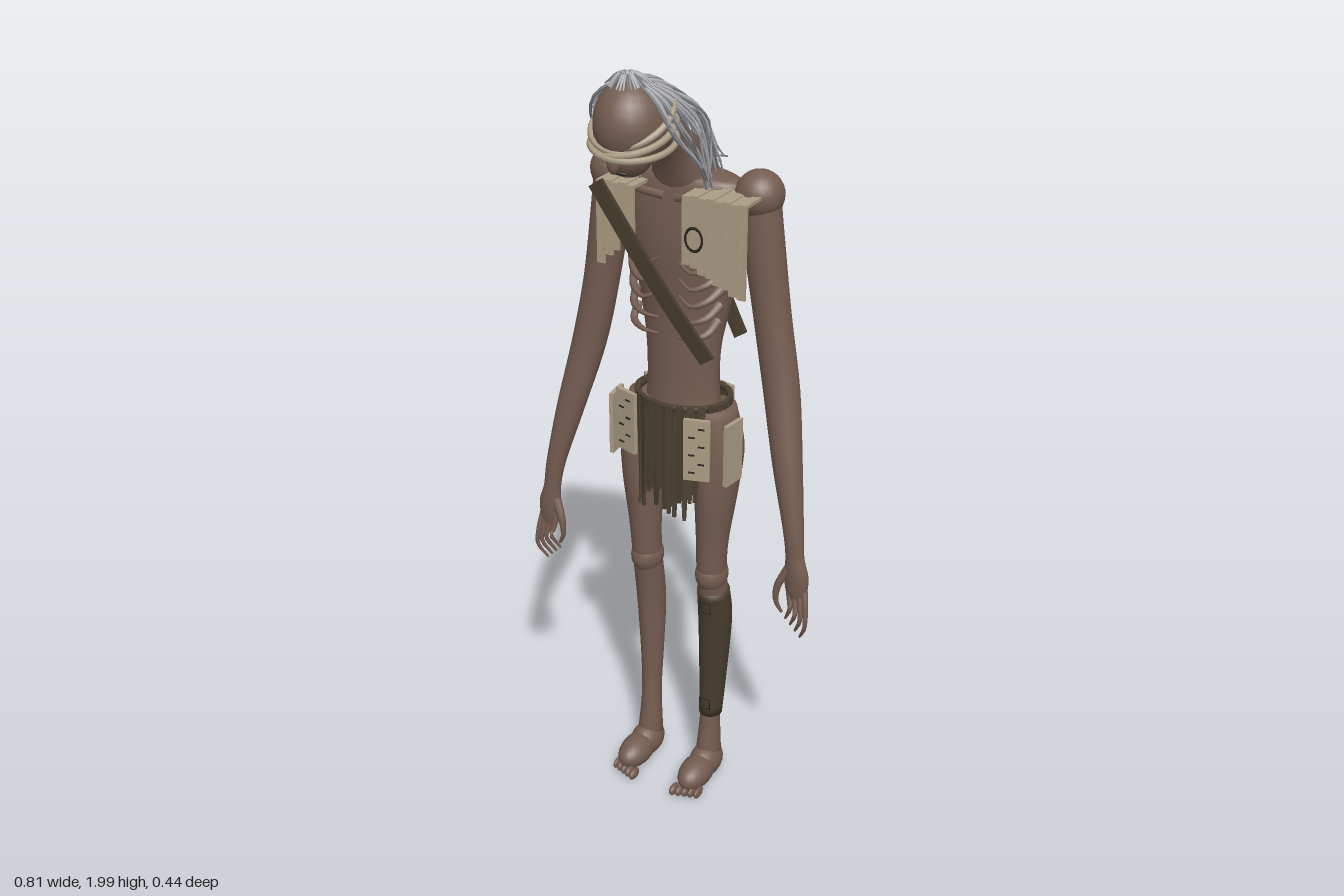
import * as THREE from 'three';

const V = (p) => new THREE.Vector3(...p);
const mat = (name, color) => {
  const m = new THREE.MeshStandardMaterial({ color });
  m.name = name;
  return m;
};

export function createModel() {
  const root = new THREE.Group();
  const skin = mat('skin', 0x745c50);
  const leather = mat('dark leather', 0x473d2d);
  const cloth = mat('skirt cloth', 0x4c4232);
  const hide = mat('pale hide', 0xab9d84);
  const grey = mat('pale grey hair', 0xb6b8bc);
  const ash = mat('mid grey hair', 0x85878b);
  const metal = mat('dark metal', 0x2c2822);

  let seed = 7;
  const rnd = () => (seed = (seed * 16807) % 2147483647) / 2147483647;

  const add = (name, geo, m, pos = [0, 0, 0], parent = root) => {
    const mesh = new THREE.Mesh(geo, m);
    mesh.name = name;
    mesh.position.set(...pos);
    parent.add(mesh);
    return mesh;
  };
  const ball = (name, m, pos, scale) =>
    add(name, new THREE.SphereGeometry(1, 24, 16), m, pos).scale.set(...scale);

  // Smooth body form through rows [x, y, z, rx, rz], listed top to bottom
  function loft(rows, n = 20, sub = 5) {
    const c = new THREE.CatmullRomCurve3(rows.map((r) => V([r[0], r[1], r[2]])), false, 'catmullrom');
    const w = new THREE.CatmullRomCurve3(rows.map((r) => V([r[3], r[4], 0])), false, 'catmullrom');
    const steps = (rows.length - 1) * sub, pos = [], idx = [];
    for (let i = 0; i <= steps; i++) {
      const p = c.getPoint(i / steps), r = w.getPoint(i / steps);
      for (let j = 0; j < n; j++) {
        const a = (j / n) * Math.PI * 2;
        pos.push(p.x + r.x * Math.cos(a), p.y, p.z + r.y * Math.sin(a));
        if (i === steps) continue;
        const A = i * n + j, B = i * n + (j + 1) % n;
        idx.push(A, B, A + n, B, B + n, A + n);
      }
    }
    const top = pos.length / 3, last = rows[rows.length - 1];
    pos.push(rows[0][0], rows[0][1], rows[0][2], last[0], last[1], last[2]);
    for (let j = 0; j < n; j++) {
      const k = (j + 1) % n;
      idx.push(top, k, j, top + 1, steps * n + j, steps * n + k);
    }
    const g = new THREE.BufferGeometry();
    g.setAttribute('position', new THREE.Float32BufferAttribute(pos, 3));
    g.setIndex(idx);
    g.computeVertexNormals();
    return g;
  }

  // Tube that narrows from r0 to r1
  function taper(pts, r0, r1, seg = 10, sides = 6) {
    const c = new THREE.CatmullRomCurve3(pts.map(V));
    const g = new THREE.TubeGeometry(c, seg, r0, sides), p = g.attributes.position, v = new THREE.Vector3();
    for (let i = 0; i < p.count; i++) {
      const t = Math.floor(i / (sides + 1)) / seg, o = c.getPointAt(t);
      v.fromBufferAttribute(p, i).sub(o).multiplyScalar(1 + (r1 / r0 - 1) * t).add(o);
      p.setXYZ(i, v.x, v.y, v.z);
    }
    return g;
  }

  // Flat strap following a path, facing z
  function strap(pts, width) {
    const c = new THREE.CatmullRomCurve3(pts.map(V));
    const g = new THREE.BoxGeometry(1, width, 0.01, 12, 1, 1), p = g.attributes.position;
    for (let i = 0; i < p.count; i++) {
      const u = p.getX(i) + 0.5, o = c.getPointAt(u), t = c.getTangentAt(u), y = p.getY(i);
      const l = Math.hypot(t.x, t.y);
      p.setXYZ(i, o.x - (t.y / l) * y, o.y + (t.x / l) * y, o.z + p.getZ(i));
    }
    g.computeVertexNormals();
    return g;
  }

  // Torso and stooped neck
  add('torso', loft([[0, 1.72, -0.12, 0.09, 0.05], [0, 1.69, -0.115, 0.16, 0.064], [0, 1.55, -0.117, 0.148, 0.074],
    [0, 1.4, -0.122, 0.122, 0.068], [0, 1.28, -0.115, 0.1, 0.06], [0, 1.15, -0.115, 0.098, 0.062],
    [0, 1.02, -0.115, 0.115, 0.07], [0, 0.96, -0.115, 0.06, 0.05]], 32), skin);
  add('neck', loft([[0, 1.9, 0.055, 0.045, 0.05], [0, 1.83, -0.015, 0.05, 0.07], [0, 1.76, -0.09, 0.06, 0.075],
    [0, 1.66, -0.127, 0.1, 0.064]]), skin);

  // Head
  ball('skull', skin, [0, 1.88, 0.112], [0.085, 0.1, 0.1]);
  ball('jaw', skin, [0, 1.822, 0.13], [0.056, 0.058, 0.06]);
  ball('nose', skin, [0, 1.812, 0.194], [0.015, 0.026, 0.017]);
  ball('mouth', metal, [0, 1.783, 0.172], [0.02, 0.005, 0.007]);
  [-0.024, -0.006, 0.012, 0.03].forEach((dy, i) => {
    const band = add('blindfoldBand', new THREE.TorusGeometry(0.09, 0.0075, 6, 40), hide, [0, 1.865 + dy, 0.112]);
    band.rotation.x = Math.PI / 2 + 0.18 + 0.13 * i;
    band.rotation.y = 0.08 * (i % 2 ? 1 : -1);
    band.scale.set(1.03, 1.1 - 0.01 * i, 1);
  });

  // Hair: long strands flowing back over the neck, looser ones at the sides, and a crown tuft
  const hair = new THREE.Group();
  hair.name = 'hair';
  root.add(hair);
  for (let i = 0; i < 58; i++) {
    const s = (i / 57) * 2 - 1, j = () => (rnd() - 0.5) * 0.022;
    add('backStrand', taper([[0.02 * s, 1.978, 0.125 + j()], [0.078 * s + j() / 2, 1.968 - 0.05 * s * s, 0.05],
      [0.102 * s + j(), 1.905 - 0.04 * s * s + j(), -0.035 + j()], [0.105 * s + j(), 1.815 - 0.035 * s * s + j(), -0.125 + 0.06 * s * s + j()],
      [0.09 * s + j(), 1.685 + rnd() * 0.07, -0.182 + 0.05 * s * s + j()]], 0.004, 0.002, 14, 5), i % 3 ? grey : ash, [0, 0, 0], hair);
  }
  for (const s of [-1, 1]) for (let i = 0; i < 14; i++) {
    const z = 0.15 - 0.014 * i, j = () => (rnd() - 0.5) * 0.02;
    add('sideStrand', taper([[s * 0.015, 1.98, 0.13], [s * 0.075, 1.94, 0.07 + z * 0.5], [s * 0.102 + j(), 1.87, z * 0.8 + j()],
      [s * 0.104 + j(), 1.79 + j(), z * 0.4 - 0.03], [s * 0.092 + j(), 1.67 + rnd() * 0.09, -0.06 + j()]], 0.004, 0.002, 14, 5),
    i % 3 ? grey : ash, [0, 0, 0], hair);
  }
  for (let i = 0; i < 34; i++) {
    const a = i * 2.4, r = 0.035 + rnd() * 0.025;
    add('crownStrand', taper([[0, 1.965, 0.135], [Math.cos(a) * 0.015, 1.992, 0.135 + Math.sin(a) * 0.015],
      [Math.cos(a) * r, 1.965, 0.128 + Math.sin(a) * r]], 0.0045, 0.002, 8, 5), i % 3 ? grey : ash, [0, 0, 0], hair);
  }

  // Arms, hands, legs and feet, mirrored
  for (const s of [-1, 1]) {
    ball('shoulder', skin, [s * 0.195, 1.685, -0.117], [0.058, 0.058, 0.058]);
    add('arm', loft([[s * 0.2, 1.68, -0.117, 0.045, 0.045], [s * 0.208, 1.58, -0.118, 0.05, 0.045],
      [s * 0.236, 1.4, -0.118, 0.047, 0.043], [s * 0.272, 1.22, -0.108, 0.046, 0.042], [s * 0.312, 1.04, -0.075, 0.038, 0.034],
      [s * 0.345, 0.89, -0.052, 0.027, 0.025], [s * 0.357, 0.81, -0.045, 0.024, 0.02], [s * 0.364, 0.76, -0.043, 0.032, 0.019],
      [s * 0.366, 0.71, -0.043, 0.028, 0.015], [s * 0.366, 0.685, -0.043, 0.014, 0.01]]), skin);
    for (let f = 0; f < 4; f++) {
      const x = 0.346 + f * 0.014, d = 0.014 * (3 - f);
      add('finger', taper([[s * x, 0.72, -0.043], [s * (x + 0.01), 0.67, -0.032], [s * (x + 0.012), 0.625 + d, -0.028],
        [s * (x - 0.008), 0.58 + d, -0.045]], 0.0105, 0.003), skin);
    }
    add('thumb', taper([[s * 0.345, 0.775, -0.04], [s * 0.32, 0.72, -0.03], [s * 0.318, 0.675, -0.03], [s * 0.332, 0.645, -0.035]], 0.014, 0.004), skin);

    add('leg', loft([[s * 0.09, 1.13, -0.11, 0.055, 0.06], [s * 0.108, 1.02, -0.11, 0.06, 0.068], [s * 0.106, 0.9, -0.1, 0.054, 0.062],
      [s * 0.1, 0.76, -0.095, 0.042, 0.045], [s * 0.097, 0.65, -0.1, 0.038, 0.043], [s * 0.098, 0.5, -0.122, 0.038, 0.042],
      [s * 0.095, 0.34, -0.12, 0.031, 0.034], [s * 0.093, 0.2, -0.113, 0.027, 0.029], [s * 0.093, 0.06, -0.105, 0.034, 0.04]]), skin);
    ball('knee', skin, [s * 0.097, 0.65, -0.1], [0.042, 0.05, 0.049]);
    ball('heel', skin, [s * 0.094, 0.048, -0.09], [0.042, 0.047, 0.062]);
    ball('forefoot', skin, [s * 0.095, 0.044, -0.035], [0.043, 0.042, 0.072]);
    for (let t = 0; t < 5; t++)
      ball('toe', skin, [s * (0.064 + t * 0.016), 0.017, 0.033 - t * 0.005], [0.01 - t * 0.0006, 0.015, 0.022]);

    // Ribs and collarbones
    for (let k = 0; k < 5; k++) {
      const y = 1.51 - 0.042 * k, w = 0.13 - 0.005 * k;
      add('rib', taper([[s * w, y + 0.025, -0.085], [s * 0.1, y, -0.047], [s * 0.065, y - 0.014, -0.032],
        [s * 0.028, y + (k < 3 ? 0.004 : -0.02), -0.04]], 0.013, 0.003), skin);
    }
    add('collarbone', taper([[s * 0.015, 1.668, -0.045], [s * 0.08, 1.676, -0.04], [s * 0.16, 1.685, -0.075]], 0.011, 0.009), skin);

    // Crossed back straps
    add('backStrap', strap([[s * 0.165, 1.705, -0.17], [s * 0.07, 1.58, -0.2 - 0.006 * s], [-s * 0.04, 1.43, -0.203 - 0.006 * s],
      [-s * 0.125, 1.3, -0.175]], 0.036), leather);
  }
  add('chestStrap', strap([[-0.165, 1.69, 0.013], [-0.06, 1.54, 0.008], [0.03, 1.4, -0.012], [0.11, 1.28, -0.035]], 0.04), leather);

  // Shoulder mantles made of narrow hide slats: [first x, slat count, front length, shortening per slat]
  for (const [x0, count, len, step] of [[-0.16, 5, 0.2, -0.02], [0.07, 8, 0.16, 0.009]]) for (let i = 0; i < count; i++) {
    const x = x0 + i * 0.0205, l = len + step * i, y = 1.69 + 0.003 * (i % 2);
    add('mantleTop', new THREE.BoxGeometry(0.0205, 0.008, 0.185), hide, [x, y, -0.088]);
    add('mantleFront', new THREE.BoxGeometry(0.0205, l, 0.007), hide, [x, y - l / 2, 0.001 - 0.003 * (i % 2)]);
  }
  const clasp = add('mantleClasp', new THREE.TorusGeometry(0.022, 0.003, 4, 20), metal, [0.092, 1.595, 0.006]);
  clasp.scale.y = 1.25;

  // Ragged skirt of two strip layers
  const skirt = new THREE.Group();
  skirt.name = 'skirt';
  root.add(skirt);
  for (let i = 0; i < 56; i++) {
    const a = (i / 56) * Math.PI * 2, k = i % 2 ? 1 : 0.95, l = 0.23 + rnd() * 0.1;
    const g = new THREE.BoxGeometry(0.019, l, 0.007, 1, 3, 1), p = g.attributes.position;
    for (let v = 0; v < p.count; v++) if (p.getY(v) < -l * 0.4) p.setX(v, p.getX(v) * 0.45);
    const strip = add('skirtStrip', g, i % 3 ? cloth : leather, [Math.sin(a) * 0.125 * k, 1.148 - l / 2, -0.117 + Math.cos(a) * 0.098 * k], skirt);
    strip.rotation.y = Math.atan2(Math.sin(a) * 0.098, Math.cos(a) * 0.125);
  }
  const belt = add('waistband', new THREE.TorusGeometry(1, 0.07, 6, 40), leather, [0, 1.14, -0.117], skirt);
  belt.rotation.x = Math.PI / 2;
  belt.scale.set(0.12, 0.094, 0.12);

  // Hide plates hung around the hips: [x, y, z, turn, marked]
  for (const [x, y, z, turn, marked] of [[-0.103, 1.08, -0.012, -0.3, 1], [0.098, 1.05, -0.01, 0.3, 1], [0.166, 1.035, -0.07, 1.45, 0],
    [-0.162, 1.05, -0.06, -1.45, 0], [0.06, 1.06, -0.213, Math.PI - 0.25, 0], [-0.118, 1.06, -0.185, Math.PI + 0.75, 0]]) {
    const plate = new THREE.Group();
    plate.name = 'hipPlate';
    plate.position.set(x, y, z);
    plate.rotation.y = turn;
    root.add(plate);
    add('plate', new THREE.BoxGeometry(0.066, 0.165, 0.011), hide, [0, 0, 0], plate);
    if (marked) for (let i = 0; i < 6; i++)
      add('stitch', new THREE.BoxGeometry(0.016, 0.004, 0.004), metal, [i % 2 ? -0.012 : 0.012, 0.06 - i * 0.024, 0.006], plate);
  }

  // Wrapped brace on the left shin with two buckles
  add('shinBrace', loft([[0.097, 0.6, -0.11, 0.042, 0.046], [0.098, 0.5, -0.122, 0.044, 0.048], [0.096, 0.34, -0.12, 0.037, 0.041],
    [0.094, 0.2, -0.113, 0.031, 0.033]]), leather);
  for (const y of [0.56, 0.25]) {
    const buckle = add('buckle', new THREE.TorusGeometry(0.021, 0.0025, 4, 4), metal, [0.098, y, y > 0.4 ? -0.064 : -0.07]);
    buckle.geometry.rotateZ(Math.PI / 4);
  }
  return root;
}
